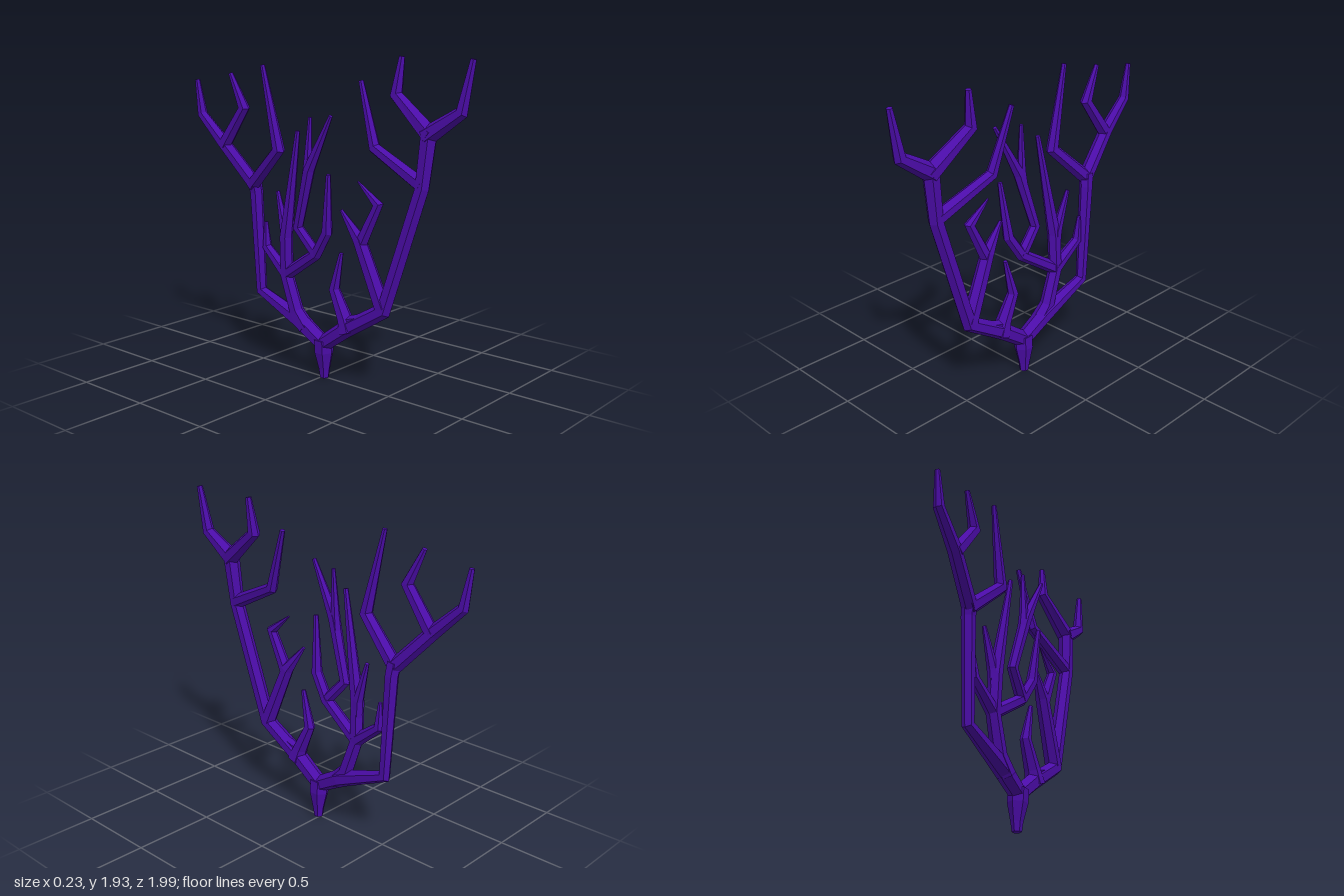
import * as THREE from 'three';

const SIDES = 6;

// Sweeps a tapered, faceted tube through nodes [x, y, z, radius] with mitred bends.
function branchGeometry(nodes) {
  const p = nodes.map(n => new THREE.Vector3(n[0], n[1], n[2]));
  const last = p.length - 1;
  const pos = [], index = [];
  p.forEach((c, j) => {
    const tIn = p[j].clone().sub(p[Math.max(j - 1, 0)]).normalize();
    const tOut = p[Math.min(j + 1, last)].clone().sub(p[j]).normalize();
    const t = tIn.clone().add(tOut).normalize();
    const mitre = j > 0 && j < last ? Math.min(1.25, 1 / Math.max(0.5, t.dot(tIn))) : 1;
    const u = new THREE.Vector3(1, 0, 0).addScaledVector(t, -t.x).normalize();
    const v = t.clone().cross(u);
    const r = nodes[j][3];
    for (let i = 0; i < SIDES; i++) {
      const a = ((i + 0.5) / SIDES) * Math.PI * 2;
      const q = c.clone()
        .addScaledVector(u, r * Math.cos(a))
        .addScaledVector(v, r * mitre * Math.sin(a));
      pos.push(q.x, q.y, q.z);
    }
  });
  for (let j = 0; j < last; j++) {
    for (let i = 0; i < SIDES; i++) {
      const a = j * SIDES + i, b = j * SIDES + (i + 1) % SIDES;
      index.push(a, b, b + SIDES, a, b + SIDES, a + SIDES);
    }
  }
  // end caps
  const e = last * SIDES;
  for (let i = 1; i < SIDES - 1; i++) index.push(0, i + 1, i, e, e + i, e + i + 1);
  const g = new THREE.BufferGeometry();
  g.setAttribute('position', new THREE.Float32BufferAttribute(pos, 3));
  g.setIndex(index);
  const flat = g.toNonIndexed();
  flat.computeVertexNormals();
  return flat;
}

export function createModel() {
  const group = new THREE.Group();
  const purple = new THREE.MeshStandardMaterial({ color: 0x4b0ca8, flatShading: true });
  purple.name = 'coral purple';

  const branch = (name, ...nodes) => {
    const mesh = new THREE.Mesh(branchGeometry(nodes), purple);
    mesh.name = name;
    group.add(mesh);
  };

  // Stem
  branch('stem', [0, 0.005, 0.015, 0.028], [0, 0.06, 0.015, 0.036],
    [-0.005, 0.17, 0.015, 0.06], [-0.01, 0.25, 0.015, 0.06]);

  // Front limb with its crown fork
  branch('frontLimb', [-0.01, 0.21, 0.0, 0.05], [-0.01, 0.34, 0.18, 0.052],
    [-0.005, 0.51, 0.46, 0.046], [0.015, 1.24, 0.695, 0.044], [0.025, 1.53, 0.725, 0.05]);
  branch('frontCrownOuter', [0.025, 1.52, 0.71, 0.055], [0.03, 1.66, 0.925, 0.036], [0.04, 1.935, 0.98, 0.018]);
  branch('frontCrownInner', [0.025, 1.52, 0.74, 0.055], [0.065, 1.725, 0.475, 0.036], [0.08, 1.935, 0.5, 0.018]);
  branch('frontSideBranch', [0.015, 1.25, 0.70, 0.045], [0.065, 1.42, 0.33, 0.034], [0.095, 1.79, 0.205, 0.016]);

  // Small twigs inside the front limb
  branch('frontTwig', [-0.005, 0.52, 0.455, 0.05], [-0.02, 0.90, 0.295, 0.042], [-0.035, 1.06, 0.17, 0.01]);
  branch('frontTwigFork', [-0.02, 0.88, 0.305, 0.04], [-0.02, 1.12, 0.425, 0.03], [-0.02, 1.235, 0.28, 0.006]);
  branch('frontShortTwig', [-0.01, 0.33, 0.21, 0.06], [-0.01, 0.41, 0.18, 0.048],
    [-0.01, 0.575, 0.1, 0.034], [-0.015, 0.80, 0.155, 0.014]);
  branch('frontWeb', [-0.01, 0.45, 0.38, 0.035], [-0.01, 0.39, 0.19, 0.035]);

  // Back limb with its crown forks
  branch('backLimb', [-0.01, 0.21, 0.03, 0.05], [-0.005, 0.32, -0.16, 0.055], [0, 0.455, -0.505, 0.034],
    [-0.005, 1.08, -0.535, 0.042], [-0.015, 1.16, -0.545, 0.045]);
  branch('backSideBranch', [-0.015, 1.12, -0.56, 0.046], [-0.065, 1.37, -0.29, 0.038], [-0.08, 1.865, -0.4, 0.015]);
  branch('backCrownOuter', [-0.015, 1.12, -0.53, 0.046], [-0.055, 1.37, -0.765, 0.042],
    [-0.065, 1.54, -0.945, 0.032], [-0.07, 1.755, -0.98, 0.016]);
  branch('backCrownInner', [-0.055, 1.36, -0.76, 0.044], [-0.06, 1.6, -0.58, 0.035], [-0.07, 1.805, -0.68, 0.015]);

  // Middle cluster rising from the back limb
  branch('middleStem', [-0.01, 0.29, -0.12, 0.055], [-0.01, 0.38, -0.2, 0.046],
    [-0.015, 0.6, -0.275, 0.042], [-0.025, 0.84, -0.27, 0.042], [-0.05, 1.49, -0.15, 0.015]);
  branch('middleSpike', [-0.02, 0.72, -0.275, 0.035], [-0.015, 0.86, -0.285, 0.034], [0, 1.105, -0.36, 0.013]);
  branch('middleBackTwig', [-0.015, 0.60, -0.27, 0.042], [0, 0.745, -0.455, 0.03], [0.005, 0.9, -0.465, 0.012]);
  branch('middleFrontBranch', [-0.015, 0.60, -0.28, 0.04], [-0.045, 0.775, -0.01, 0.036],
    [-0.06, 0.92, 0.085, 0.034], [-0.09, 1.265, 0.12, 0.015]);
  branch('middleTallBranch', [-0.045, 0.77, -0.005, 0.036], [-0.06, 0.92, -0.14, 0.031],
    [-0.085, 1.28, -0.03, 0.037], [-0.1, 1.6, 0.145, 0.013]);
  branch('middleTallSpike', [-0.08, 1.2, -0.055, 0.034], [-0.08, 1.3, -0.045, 0.028], [-0.07, 1.58, -0.035, 0.012]);

  return group;
}
